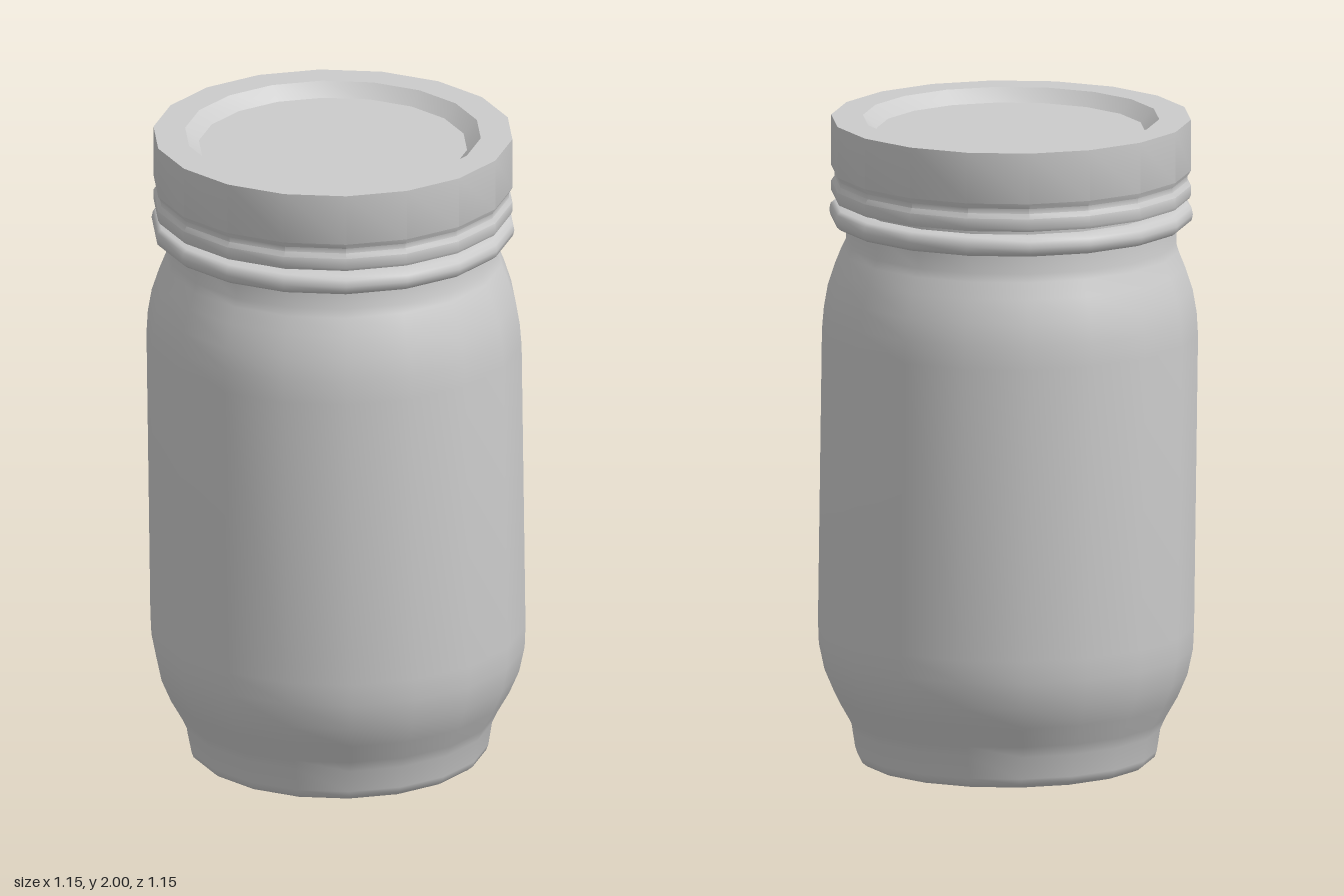
import * as THREE from 'three';
import { toCreasedNormals } from 'three/addons/utils/BufferGeometryUtils.js';

const SIDES = 18;
const material = new THREE.MeshStandardMaterial({ color: 0xcccccc });

// The jar leans back very slightly: centre line in z for a given height
const lean = (y) => {
  if (y > 1.6) return -0.011;
  return 0.008 - 0.016 * THREE.MathUtils.clamp(y - 0.4, 0, 1);
};

// Turn a [radius, height] profile (bottom to top) into a named part
function turned(name, profile, crease) {
  const points = profile.map(([r, y]) => new THREE.Vector2(r, y));
  // a corner of the polygon lies on each side of the x axis
  const lathe = new THREE.LatheGeometry(points, SIDES, Math.PI / 2);
  const pos = lathe.attributes.position;
  for (let i = 0; i < pos.count; i++) pos.setZ(i, pos.getZ(i) + lean(pos.getY(i)));
  const mesh = new THREE.Mesh(toCreasedNormals(lathe, crease), material);
  mesh.name = name;
  return mesh;
}

export function createModel() {
  const group = new THREE.Group();
  group.name = 'jar';

  // Glass: narrow foot, rounded shoulders and neck
  group.add(turned('jarBody', [
    [0, 0], [0.44, 0], [0.455, 0.012], [0.461, 0.03], [0.472, 0.1],
    [0.488, 0.135], [0.525, 0.2], [0.555, 0.27], [0.572, 0.35], [0.575, 0.42],
    [0.575, 1.33], [0.57, 1.4], [0.558, 1.47], [0.535, 1.54], [0.515, 1.59],
    [0.505, 1.615], [0.505, 1.69], [0.49, 1.7], [0.49, 1.8], [0, 1.8],
  ], 0.9));

  // Rounded bead at the bottom of the band
  group.add(turned('neckBead', [
    [0.48, 1.677], [0.54, 1.677], [0.552, 1.687], [0.556, 1.705],
    [0.552, 1.725], [0.54, 1.735], [0.48, 1.735],
  ], 0.8));

  // Screw lid: grooved skirt, flat rim and sunken centre
  group.add(turned('lid', [
    [0.48, 1.755], [0.545, 1.755], [0.55, 1.765], [0.55, 1.795], [0.54, 1.81],
    [0.54, 1.825], [0.55, 1.842], [0.55, 2], [0.453, 2], [0.411, 1.96], [0, 1.96],
  ], 0.6));

  return group;
}
